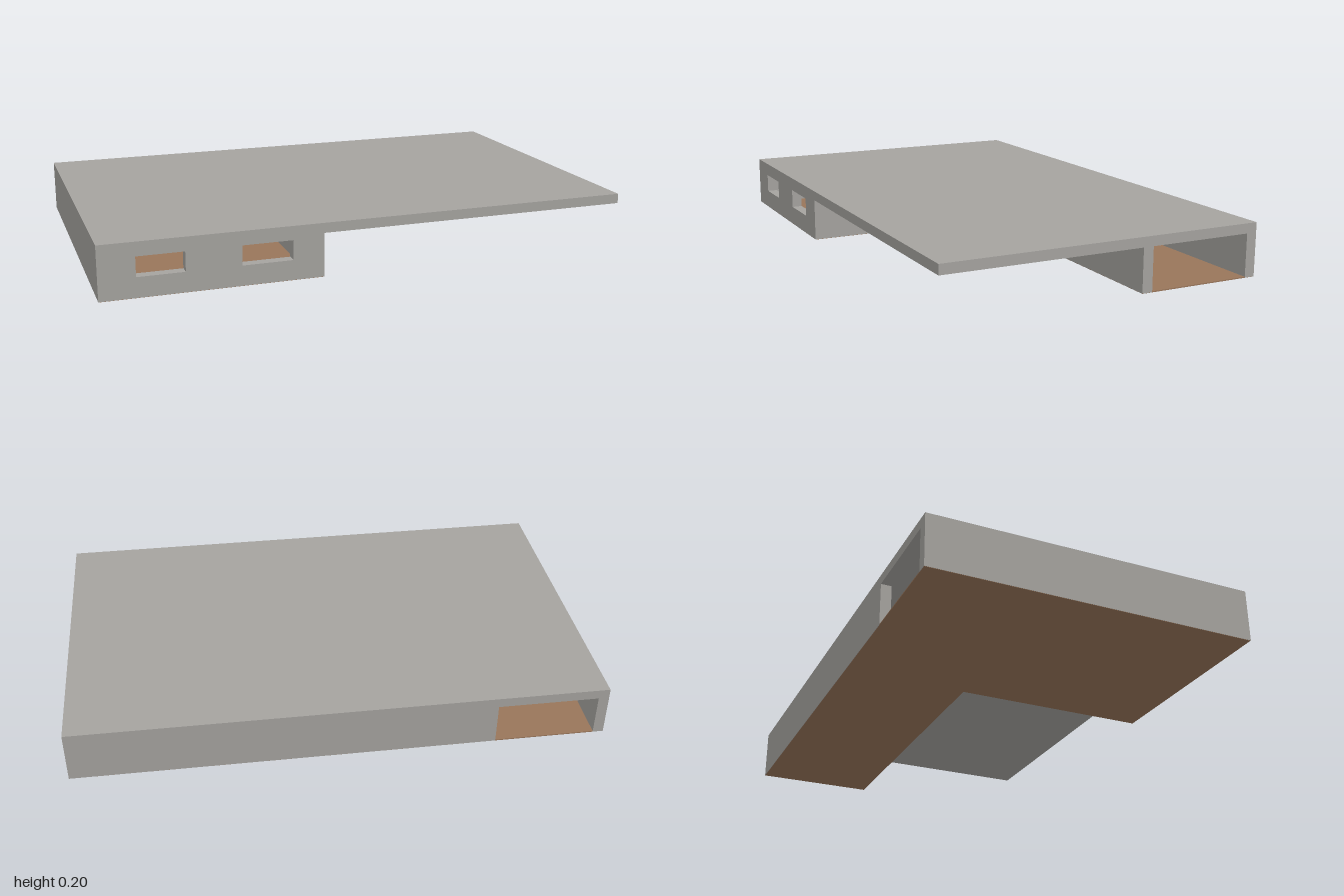
import * as THREE from 'three';

export function createModel() {
  const model = new THREE.Group();
  const concrete = new THREE.MeshStandardMaterial({ color: 0xa5a39f });
  concrete.name = 'grey concrete';
  const wood = new THREE.MeshStandardMaterial({ color: 0x98755a });
  wood.name = 'brown floor';

  const T = 0.04;        // wall thickness
  const Z = 0.618;       // half depth
  const BASE = 0.001;    // walls start just above the floor's underside
  const CEIL = 0.163;    // underside of the roof

  // Box given by its limits on each axis
  function block(name, x0, x1, y0, y1, z0, z1, material = concrete) {
    const mesh = new THREE.Mesh(new THREE.BoxGeometry(x1 - x0, y1 - y0, z1 - z0), material);
    mesh.position.set((x0 + x1) / 2, (y0 + y1) / 2, (z0 + z1) / 2);
    mesh.name = name;
    model.add(mesh);
  }
  const wall = (name, x0, x1, z0, z1, top = CEIL) => block(name, x0, x1, BASE, top, z0, z1);

  // Flat roof, also covering the open carport
  block('roof', -1, 1, CEIL, 0.2, -Z, Z);

  // L-shaped floor, a hair inside the outer wall faces
  const e = 0.001;
  block('wingFloor', -1 + e, -0.2 - e, 0, 0.004, -Z + e, Z - e, wood);
  block('rearFloor', -0.2 - e, 1 - e, 0, 0.004, -Z + e, -0.14 - e, wood);

  // Front wall with two window openings
  const front = new THREE.Shape();
  front.moveTo(-1, BASE).lineTo(-0.2, BASE).lineTo(-0.2, CEIL).lineTo(-1, CEIL).closePath();
  for (const [x0, x1] of [[-0.87, -0.7], [-0.5, -0.315]]) {
    const hole = new THREE.Path();
    hole.moveTo(x0, 0.075).lineTo(x0, 0.148).lineTo(x1, 0.148).lineTo(x1, 0.075).closePath();
    front.holes.push(hole);
  }
  const frontWall = new THREE.Mesh(
    new THREE.ExtrudeGeometry(front, { depth: T, bevelEnabled: false }), concrete);
  frontWall.position.z = Z - T;
  frontWall.name = 'frontWall';
  model.add(frontWall);

  // Outer walls; the back wall leaves a wide opening near one corner
  wall('sideWall', -1, -1 + T, -Z, Z - T);
  wall('backWall', -0.58, 1, -Z, -Z + T);
  wall('carportSideWall', -0.2 - T, -0.2, -0.14, Z - T);
  wall('carportBackWall', -0.24, 1, -0.18, -0.14);

  // Inner partition: low counter between two posts, with doorways beside them
  wall('partitionPost', -0.84, -0.8, -0.18, -0.14);
  wall('partitionCounter', -0.8, -0.42, -0.18, -0.14, 0.07);
  wall('partitionPost', -0.42, -0.36, -0.18, -0.14);

  return model;
}
